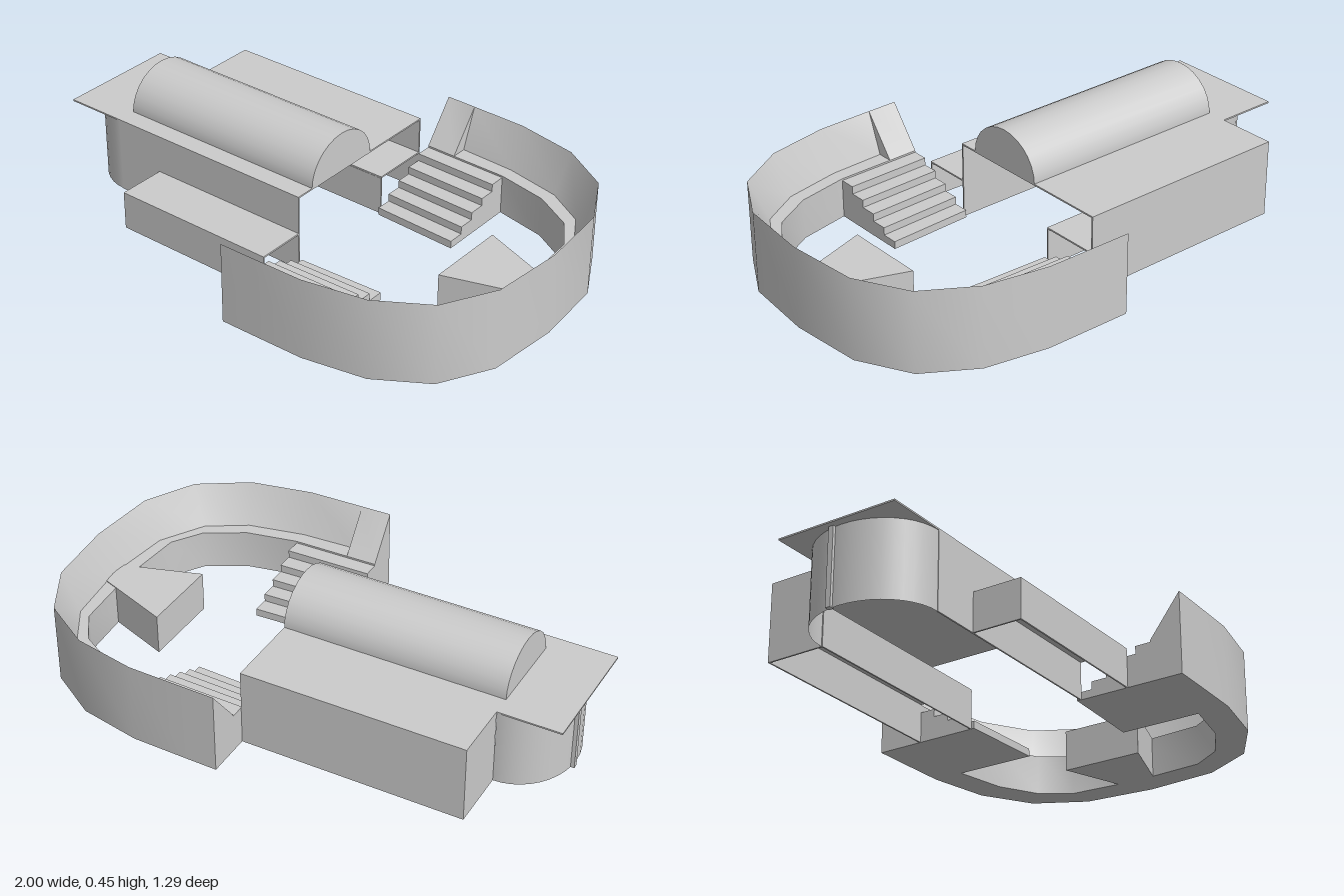
import * as THREE from 'three';
import { toCreasedNormals } from 'three/addons/utils/BufferGeometryUtils.js';

const mat = new THREE.MeshStandardMaterial({ color: 0xcccccc, side: THREE.DoubleSide });
const T = 0.006; // thickness of walls and slabs

function add(parent, name, geometry) {
  const mesh = new THREE.Mesh(geometry, mat);
  mesh.name = name;
  parent.add(mesh);
  return mesh;
}

// Box given by its limits
function block(parent, name, x0, x1, y0, y1, z0, z1) {
  const mesh = add(parent, name, new THREE.BoxGeometry(x1 - x0, y1 - y0, z1 - z0));
  mesh.position.set((x0 + x1) / 2, (y0 + y1) / 2, (z0 + z1) / 2);
}

// Upright prism over a plan outline of [x, z] points
function prism(parent, name, plan, height) {
  const shape = new THREE.Shape(plan.map(([x, z]) => new THREE.Vector2(x, -z)));
  const geo = new THREE.ExtrudeGeometry(shape, { depth: height, bevelEnabled: false });
  add(parent, name, geo.rotateX(-Math.PI / 2));
}

// Curved embankment: battered inner face, ledge, then a vertical drop
function embankment() {
  const top = 0.315, ledge = 0.157;
  // plan stations: outer x, z, ledge back x, z, ledge front x, z
  const half = [
    [0.1, 0.647, 0.1, 0.525, 0.1, 0.525],
    [0.22, 0.645, 0.22, 0.523, 0.22, 0.523],
    [0.22, 0.645, 0.22, 0.585, 0.22, 0.523],
    [0.44, 0.64, 0.44, 0.575, 0.44, 0.52],
    [0.68, 0.593, 0.66, 0.53, 0.64, 0.48],
    [0.87, 0.475, 0.81, 0.44, 0.79, 0.395],
    [0.975, 0.28, 0.91, 0.27, 0.865, 0.28],
    [1, 0, 0.94, 0, 0.885, 0],
  ];
  const mirrored = half.map((s) => s.map((v, i) => (i % 2 ? -v : v)));
  const stations = [...mirrored, ...half.slice(0, -1).reverse()];
  const loops = stations.map(([ox, oz, mx, mz, ix, iz]) => [
    [ox, 0, oz], [ox, top, oz], [mx, ledge, mz], [ix, ledge, iz], [ix, 0, iz],
  ]);
  const pos = [];
  const tri = (a, b, c) => pos.push(...a, ...b, ...c);
  for (let i = 0; i < loops.length - 1; i++) {
    const p = loops[i], q = loops[i + 1];
    for (let k = 0; k < 5; k++) {
      const n = (k + 1) % 5;
      tri(p[k], p[n], q[n]);
      tri(p[k], q[n], q[k]);
    }
  }
  const first = loops[0], last = loops[loops.length - 1];
  for (let k = 1; k < 4; k++) {
    tri(first[0], first[k + 1], first[k]);
    tri(last[0], last[k], last[k + 1]);
  }
  const geo = new THREE.BufferGeometry();
  geo.setAttribute('position', new THREE.Float32BufferAttribute(pos, 3));
  geo.computeVertexNormals();
  return toCreasedNormals(geo, 0.6);
}

export function createModel() {
  const model = new THREE.Group();
  model.name = 'theatreBuilding';

  // Hall and rear aisle, open below and towards the court
  const hall = new THREE.Group();
  hall.name = 'hall';
  model.add(hall);
  block(hall, 'roof', -0.76, 0.1, 0.3 - T, 0.3, -0.47, 0.24);
  block(hall, 'frontWall', -0.76, 0.1, 0, 0.3 - T, 0.24 - T, 0.24);
  block(hall, 'backWall', -0.76, 0.1, 0, 0.3 - T, -0.47, -0.47 + T);
  block(hall, 'aisleEndWall', -0.76, -0.76 + T, 0, 0.3 - T, -0.47 + T, -0.24);
  block(hall, 'aisleFloor', -0.76 + T, 0.1, 0.157 - T, 0.157, -0.47 + T, -0.235);
  block(hall, 'aisleInnerWall', -0.76, 0.1, 0, 0.157 - T, -0.24, -0.24 + T);

  // Barrel vault
  const vault = new THREE.CylinderGeometry(0.165, 0.165, 0.86, 14, 1, false, 0, Math.PI);
  vault.rotateZ(Math.PI / 2).scale(1, 0.91, 1).translate(-0.33, 0.299, 0);
  add(hall, 'barrelVault', vault);

  // Low front annex
  const annex = new THREE.Group();
  annex.name = 'annex';
  model.add(annex);
  block(annex, 'annexRoof', -0.565, 0.1, 0.15 - T, 0.15, 0.24, 0.43);
  block(annex, 'annexFrontWall', -0.565, 0.1, 0, 0.15 - T, 0.43 - T, 0.43);
  block(annex, 'annexEndWall', -0.565, -0.565 + T, 0, 0.15 - T, 0.24, 0.43 - T);

  // Rounded foyer under an overhanging flat roof
  const foyer = new THREE.CylinderGeometry(1, 1, 0.297, 20, 1, true, Math.PI, Math.PI);
  foyer.scale(0.21, 1, 0.238).translate(-0.76, 0.1485, 0);
  add(model, 'foyerWall', foyer);
  block(model, 'foyerRoof', -1, -0.76, 0.3 - T, 0.3, -0.24, 0.24);
  block(model, 'entrancePost', -0.98, -0.96, 0, 0.3 - T, -0.045, -0.025);

  // Court: embankment, podium and the two slightly skewed stairs
  add(model, 'embankment', embankment());
  prism(model, 'podium', [[0.64, -0.17], [0.64, 0.15], [0.94, 0.055], [0.94, -0.06]], 0.16);
  for (const side of [-1, 1]) {
    const stair = new THREE.Group();
    stair.name = side < 0 ? 'backStair' : 'frontStair';
    model.add(stair);
    const near = (i) => side * (0.222 + i * 0.0606);
    const far = (i) => side * (0.207 + i * 0.0626);
    for (let i = 0; i < 5; i++) {
      const plan = [[0.1, near(i)], [0.44, far(i)], [0.44, far(i + 1)], [0.1, near(i + 1)]];
      prism(stair, 'step', plan, 0.03 * (i + 1));
    }
  }
  return model;
}
